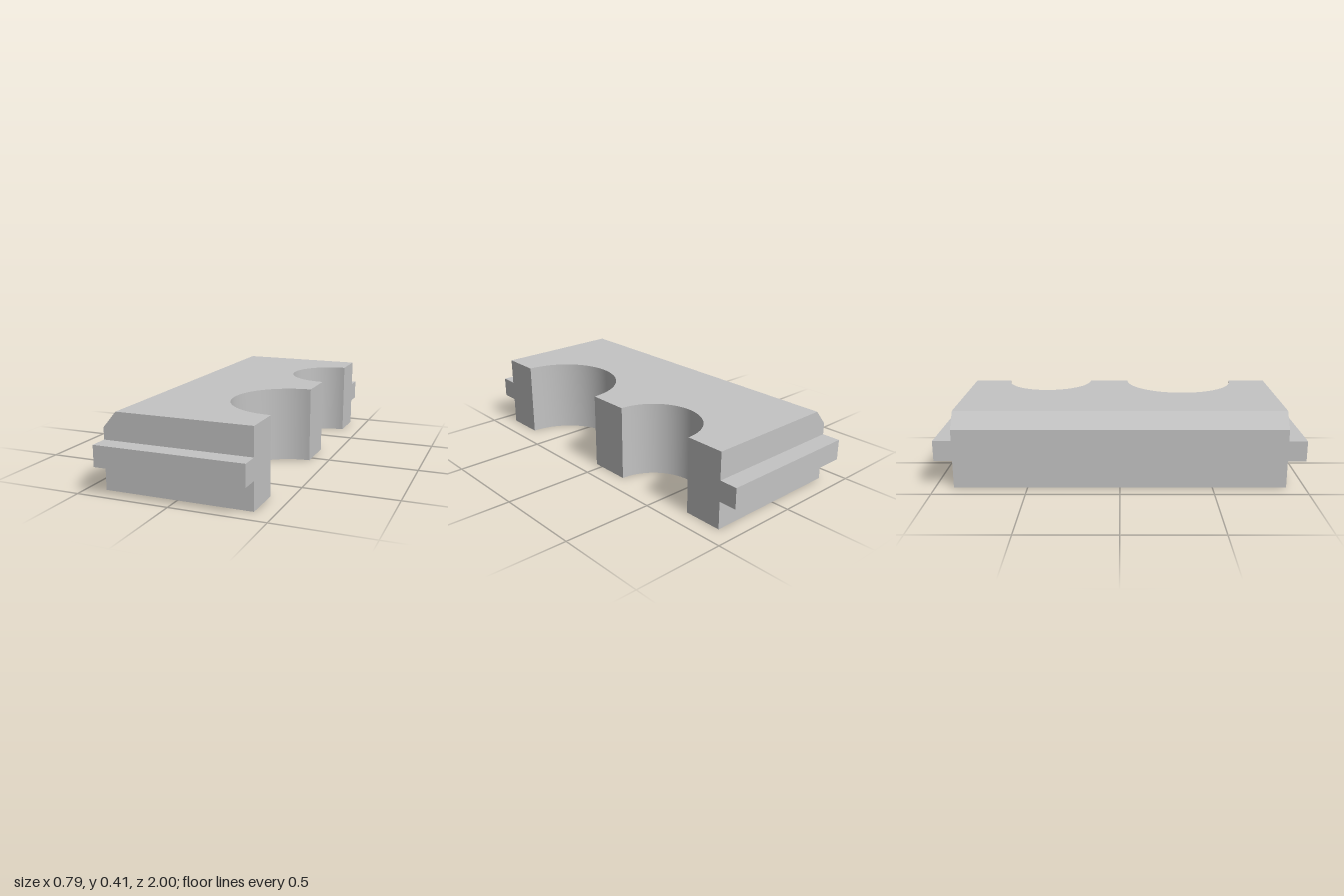
import * as THREE from 'three';
import { toCreasedNormals } from 'three/addons/utils/BufferGeometryUtils.js';

const HALF_WIDTH = 0.397, HALF_LENGTH = 0.9, HEIGHT = 0.41;
const CHAMFER_X = -0.325, CHAMFER_Y = 0.325;
const TONGUE = { bottom: 0.15, top: 0.262, depth: 0.1 };

export function createModel() {
  const group = new THREE.Group();
  group.name = 'notchedBlock';
  const grey = new THREE.MeshStandardMaterial({ color: 0xc4c4c4 });
  grey.name = 'plain grey';

  // Plan outline with two half-round notches along the left side (shape y is -z)
  const plan = new THREE.Shape();
  plan.moveTo(-HALF_WIDTH, -HALF_LENGTH);
  plan.lineTo(HALF_WIDTH, -HALF_LENGTH);
  for (const [z, radius] of [[0.365, 0.318], [-0.435, 0.25]]) {
    plan.absarc(HALF_WIDTH, -z, radius, -Math.PI / 2, Math.PI / 2, true);
  }
  plan.lineTo(HALF_WIDTH, HALF_LENGTH);
  plan.lineTo(-HALF_WIDTH, HALF_LENGTH);

  // Body: the middle ring is raised and the top right edge drawn in to make the chamfer
  const geometry = new THREE.ExtrudeGeometry(plan, {
    depth: HEIGHT, steps: 2, bevelEnabled: false, curveSegments: 24,
  });
  geometry.rotateX(-Math.PI / 2);
  const position = geometry.attributes.position;
  for (let i = 0; i < position.count; i++) {
    const y = position.getY(i);
    if (Math.abs(y - HEIGHT / 2) < 0.01) position.setY(i, CHAMFER_Y);
    if (y > HEIGHT - 0.01 && position.getX(i) < -HALF_WIDTH + 0.001) position.setX(i, CHAMFER_X);
  }
  const body = new THREE.Mesh(toCreasedNormals(geometry, 0.5), grey);
  body.name = 'body';
  group.add(body);

  // Tongues across both ends
  for (const side of [1, -1]) {
    const tongue = new THREE.Mesh(
      new THREE.BoxGeometry(HALF_WIDTH * 2, TONGUE.top - TONGUE.bottom, TONGUE.depth), grey);
    tongue.position.set(0, (TONGUE.top + TONGUE.bottom) / 2, side * (HALF_LENGTH + TONGUE.depth / 2));
    tongue.name = side > 0 ? 'frontTongue' : 'backTongue';
    group.add(tongue);
  }
  return group;
}
